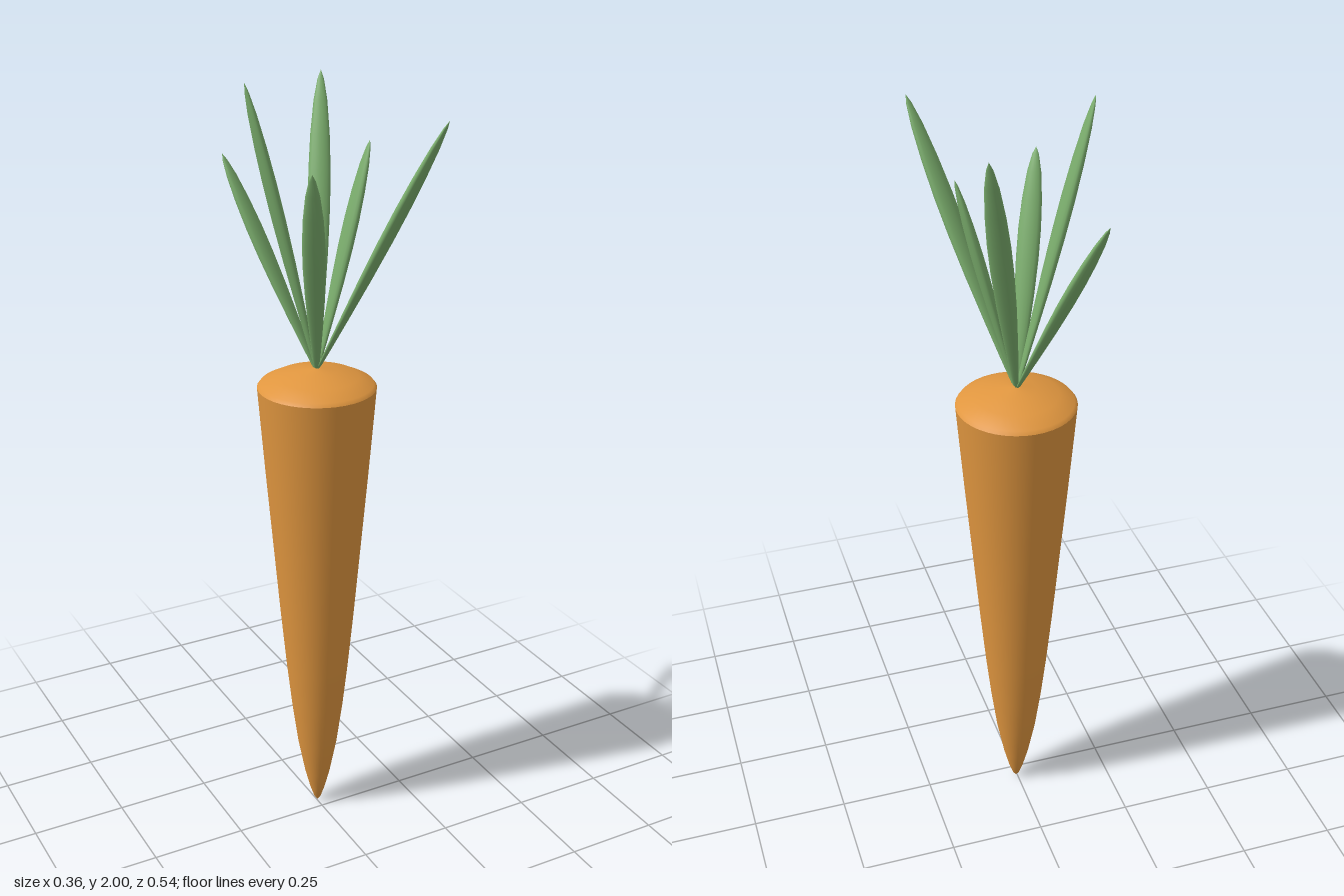
import * as THREE from 'three';

export function createModel() {
  const model = new THREE.Group();
  model.name = 'carrot';

  const orange = new THREE.MeshStandardMaterial({ color: 0xe0963f });
  orange.name = 'carrotOrange';
  const green = new THREE.MeshStandardMaterial({ color: 0x7bae6d });
  green.name = 'leafGreen';

  const cx = 0.003, cz = -0.033; // root axis

  function lathe(name, profile, segments, material) {
    const points = profile.map(([r, y]) => new THREE.Vector2(r, y));
    const mesh = new THREE.Mesh(new THREE.LatheGeometry(points, segments), material);
    mesh.name = name;
    return mesh;
  }

  // Tapered root and its shallow domed crown, split for a crisp rim
  const root = lathe('root', [
    [0, 0], [0.009, 0.012], [0.02, 0.045], [0.034, 0.1], [0.053, 0.2], [0.069, 0.32], [0.082, 0.44],
    [0.097, 0.6], [0.114, 0.8], [0.131, 1.0], [0.143, 1.15], [0.15, 1.24],
  ], 40, orange);
  const crown = lathe('crown', [
    [0.15, 1.24], [0.143, 1.249], [0.105, 1.268], [0.05, 1.282], [0, 1.29],
  ], 40, orange);
  for (const part of [root, crown]) {
    part.position.set(cx, 0, cz);
    model.add(part);
  }

  // Flattened, pointed leaves fanning out from the crown
  const base = new THREE.Vector3(cx, 1.28, cz - 0.001);
  const tips = [
    [-0.18, 2.0, -0.034], [0.147, 1.84, -0.034], [-0.102, 1.82, 0.146],
    [0.178, 1.935, 0.267], [0.137, 1.97, -0.266], [-0.133, 1.79, -0.27],
  ];
  const leafProfile = [
    [0, 0], [0.007, 0.03], [0.012, 0.12], [0.018, 0.25], [0.024, 0.4], [0.0275, 0.55],
    [0.0275, 0.67], [0.024, 0.79], [0.017, 0.9], [0.008, 0.97], [0, 1],
  ];
  tips.forEach((tip, i) => {
    const axis = new THREE.Vector3(...tip).sub(base);
    const length = axis.length();
    const up = axis.clone().normalize();
    const side = new THREE.Vector3(up.z, 0, -up.x).normalize(); // broad direction
    const normal = new THREE.Vector3().crossVectors(side, up);
    const leaf = lathe('leaf' + (i + 1), leafProfile, 16, green);
    leaf.geometry.scale(1, length, 0.5);
    leaf.quaternion.setFromRotationMatrix(new THREE.Matrix4().makeBasis(side, up, normal));
    leaf.position.copy(base);
    model.add(leaf);
  });

  return model;
}
